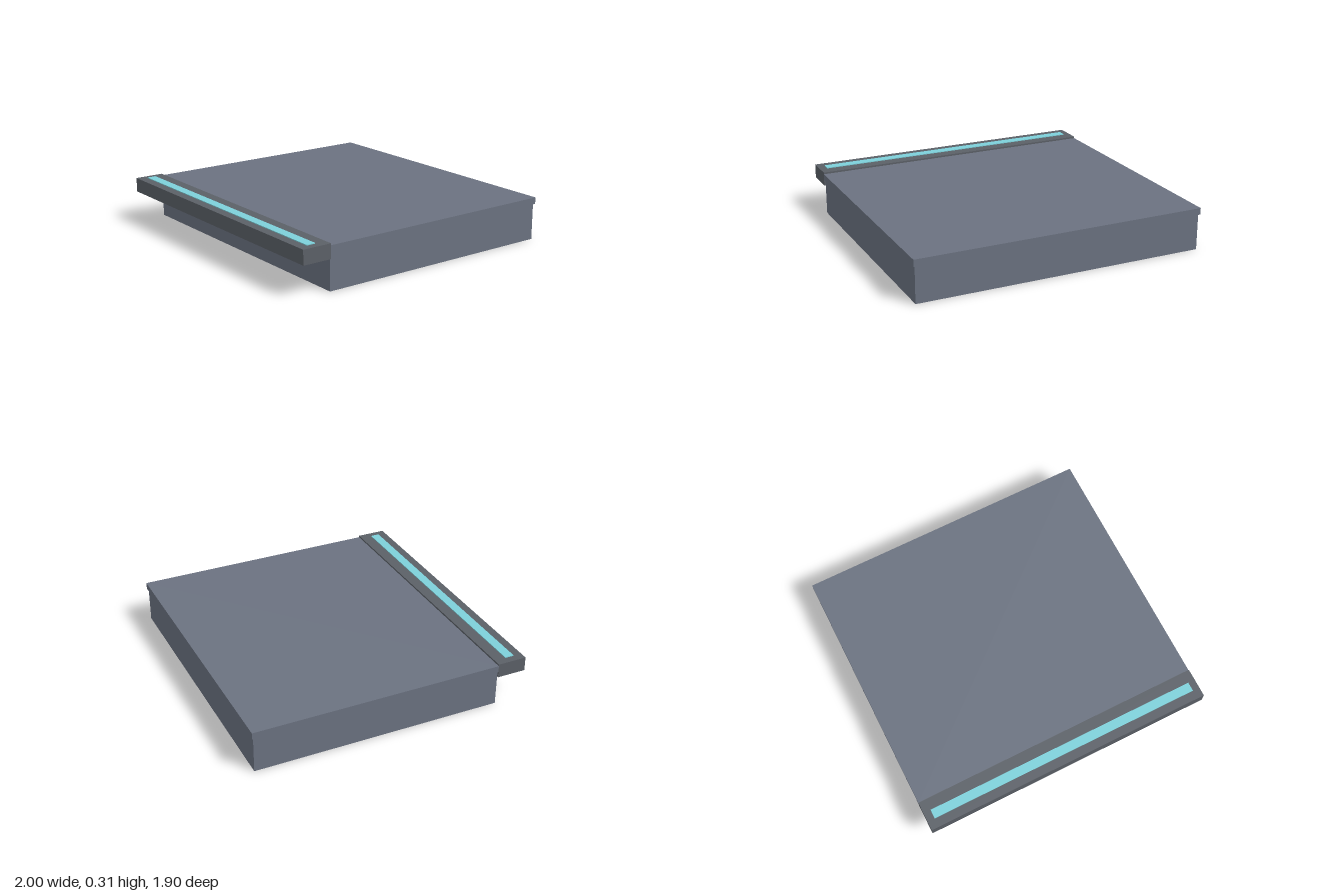
import * as THREE from 'three';

export function createModel() {
  const group = new THREE.Group();
  group.name = 'stepPlatform';

  // Box given by its half width and its y and z ranges
  const addBox = (name, color, halfWidth, [y0, y1], [z0, z1]) => {
    const mesh = new THREE.Mesh(
      new THREE.BoxGeometry(halfWidth * 2, y1 - y0, z1 - z0),
      new THREE.MeshStandardMaterial({ color })
    );
    mesh.name = name;
    mesh.position.set(0, (y0 + y1) / 2, (z0 + z1) / 2);
    group.add(mesh);
  };

  // Solid body with a slightly wider tread on top
  addBox('base', 0x6b7280, 0.99, [0, 0.245], [-0.94, 0.75]);
  addBox('tread', 0x6b7280, 1, [0.245, 0.29], [-0.95, 0.75]);

  // Overhanging front edge with its inlaid strips
  addBox('nosing', 0x5b6067, 1, [0.205, 0.302], [0.75, 0.95]);
  addBox('gripStrip', 0x7dd0da, 0.95, [0.295, 0.307], [0.828, 0.89]);
  addBox('underLight', 0xe0ac1c, 0.9, [0.19, 0.21], [0.818, 0.858]);

  return group;
}
